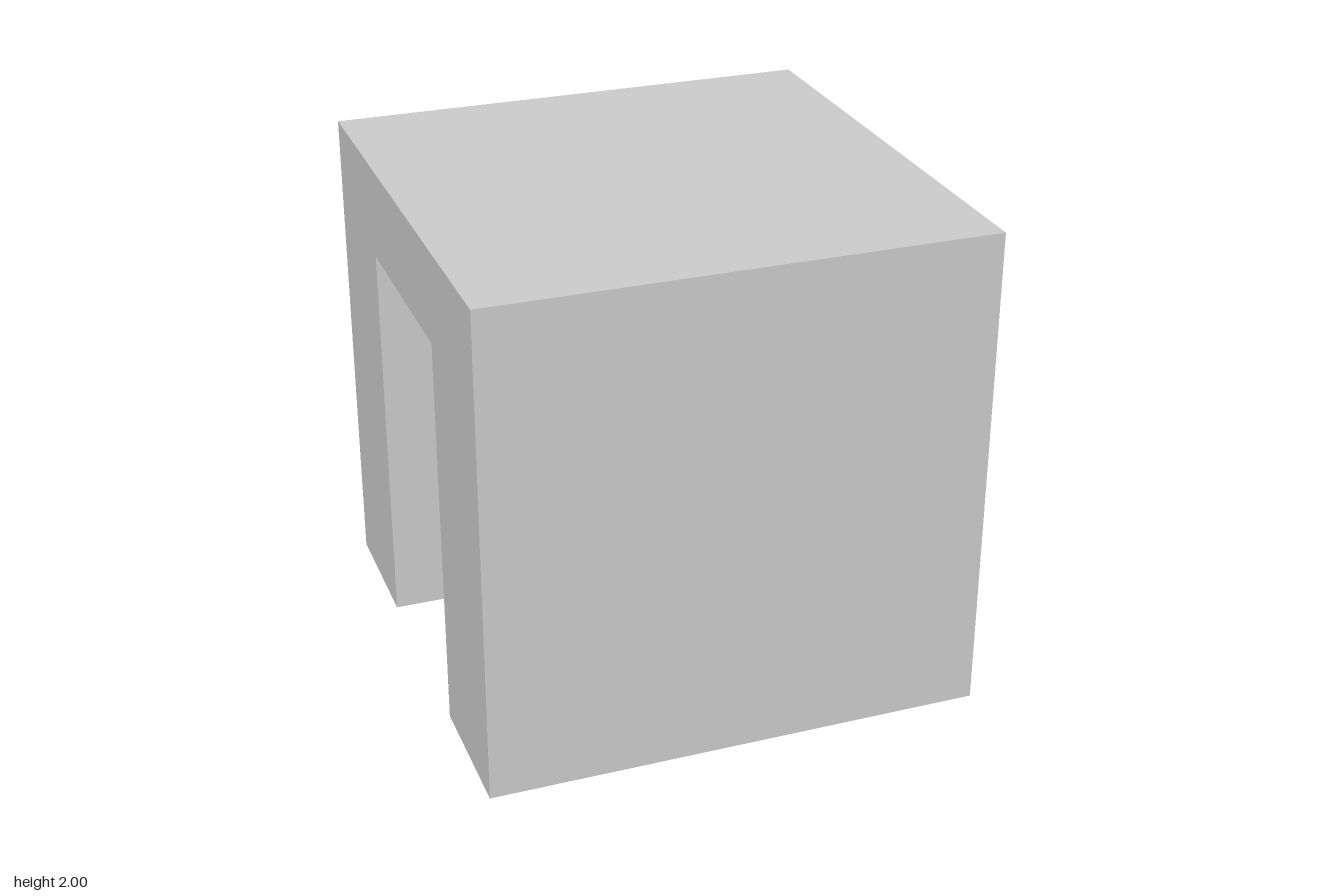
import * as THREE from 'three';

export function createModel() {
  const size = 2, half = size / 2;
  const openingHalf = 0.43, openingTop = 1.626;

  // Upside-down U profile: two thick walls joined by a top slab
  const profile = new THREE.Shape([
    [-half, 0], [-openingHalf, 0], [-openingHalf, openingTop],
    [openingHalf, openingTop], [openingHalf, 0], [half, 0],
    [half, size], [-half, size],
  ].map(([u, y]) => new THREE.Vector2(u, y)));

  // Extrude the profile along x so the passage runs from side to side
  const geometry = new THREE.ExtrudeGeometry(profile, { depth: size, bevelEnabled: false });
  geometry.translate(0, 0, -half);
  geometry.rotateY(Math.PI / 2);

  const block = new THREE.Mesh(
    geometry,
    new THREE.MeshStandardMaterial({ color: 0xcccccc, flatShading: true }),
  );
  block.name = 'archBlock';

  const model = new THREE.Group();
  model.name = 'squareArch';
  model.add(block);
  return model;
}
